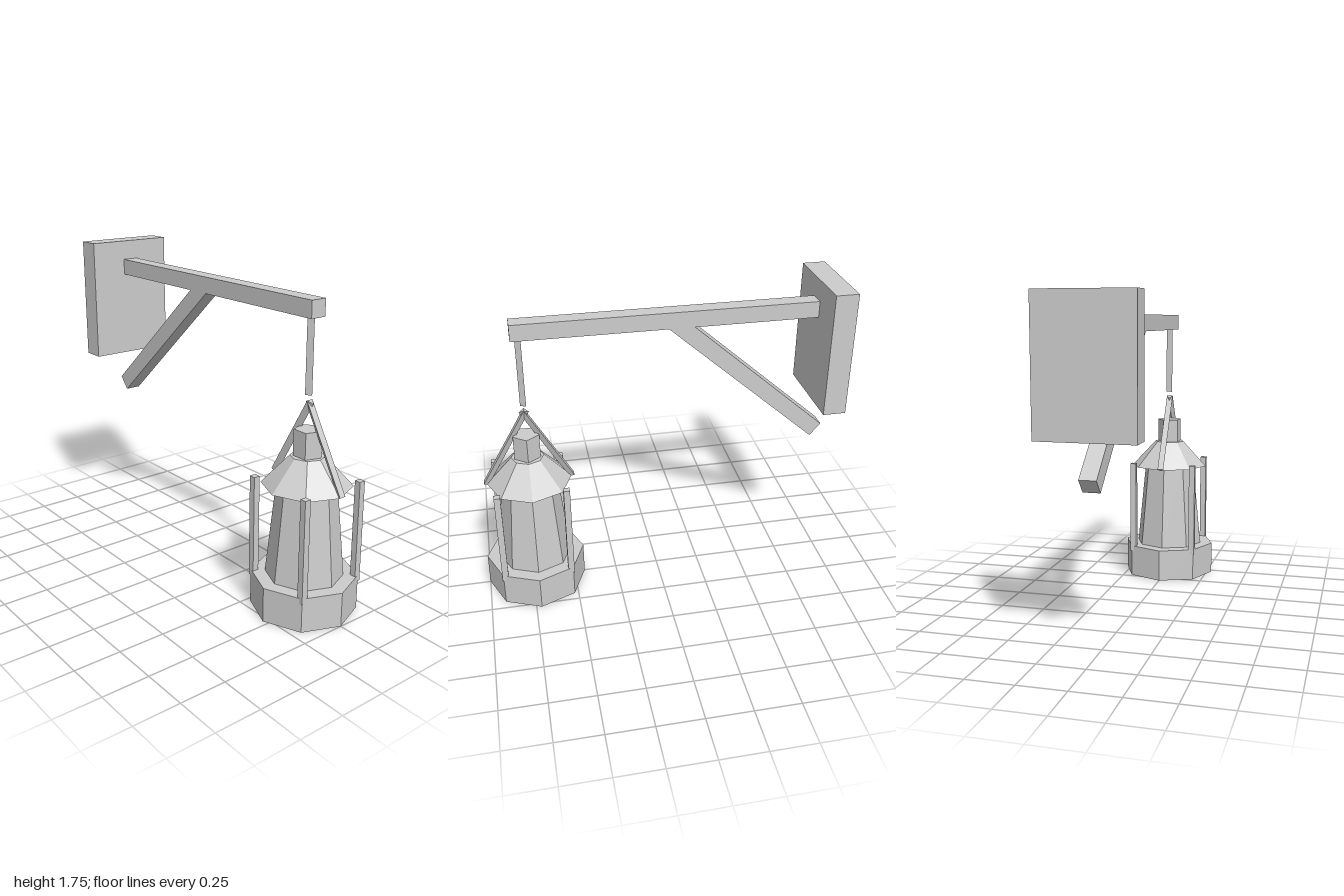
import * as THREE from 'three';

export function createModel() {
  const model = new THREE.Group();
  model.name = 'wallLantern';
  const grey = new THREE.MeshStandardMaterial({ color: 0xcccccc });
  grey.name = 'plain grey';
  grey.flatShading = true;

  const add = (parent, name, geometry, x, y, z = 0) => {
    const mesh = new THREE.Mesh(geometry, grey);
    mesh.name = name;
    mesh.position.set(x, y, z);
    parent.add(mesh);
    return mesh;
  };
  const box = (w, h, d) => new THREE.BoxGeometry(w, h, d);
  const prism = (top, bottom, height, sides, turn = 0) =>
    new THREE.CylinderGeometry(top, bottom, height, sides, 1, false, turn);

  // Wall bracket
  const bracket = new THREE.Group();
  bracket.name = 'bracket';
  model.add(bracket);
  add(bracket, 'wallPlate', box(0.125, 0.685, 0.5), -0.9375, 1.4075);
  add(bracket, 'beam', box(1.635, 0.09, 0.09), -0.0575, 1.595);
  const slope = THREE.MathUtils.degToRad(41.35);
  const braceLength = 1.11;
  const brace = add(bracket, 'brace', box(braceLength, 0.092, 0.088),
    -0.9225 + Math.cos(slope) * braceLength / 2, 0.8525 + Math.sin(slope) * braceLength / 2);
  brace.rotation.z = slope;

  // Lantern, hung below the end of the beam
  const lantern = new THREE.Group();
  lantern.name = 'lantern';
  lantern.position.x = 0.72;
  model.add(lantern);
  add(lantern, 'base', prism(0.28, 0.28, 0.19, 8), 0, 0.095);
  add(lantern, 'glass', prism(0.156, 0.205, 0.5, 8), 0, 0.44);
  add(lantern, 'roof', prism(0.09, 0.235, 0.155, 8), 0, 0.7675);
  add(lantern, 'chimney', prism(0.075, 0.075, 0.14, 5, Math.PI), 0, 0.915);
  add(lantern, 'hangingRod', prism(0.021, 0.021, 0.39, 3, Math.PI / 2), -0.005, 1.355);

  for (const side of [-1, 1]) {
    // Three-sided straps, flat face outward
    const strap = add(lantern, side > 0 ? 'leftStrap' : 'rightStrap',
      prism(0.021, 0.021, 0.502, 3, -side * Math.PI / 2), side * 0.116, 0.9125);
    strap.rotation.z = side * Math.PI / 6;
    // Corner posts
    for (const end of [-1, 1]) {
      add(lantern, 'post', box(0.035, 0.56, 0.035), side * 0.187, 0.44, end * 0.187);
    }
  }
  return model;
}
